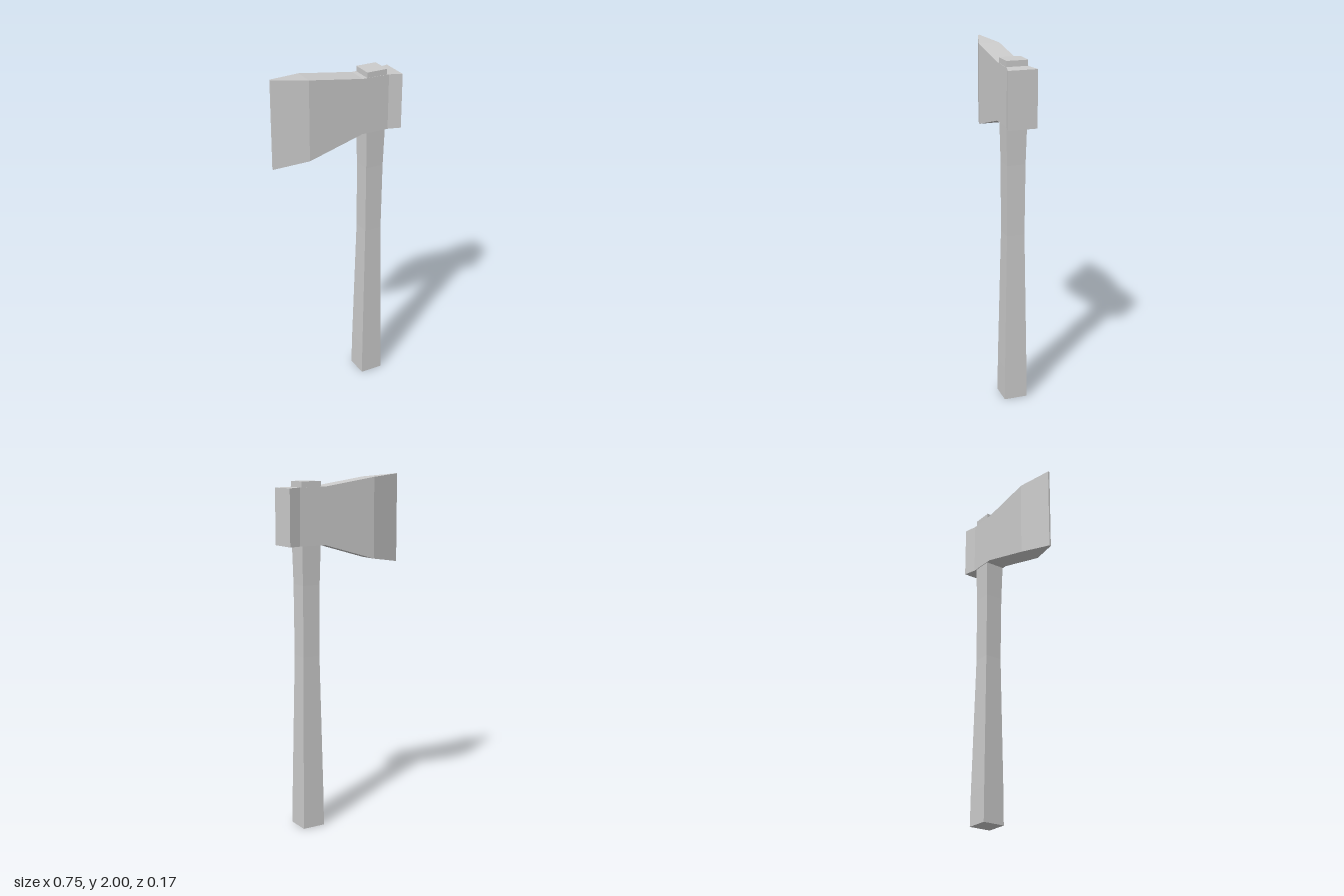
import * as THREE from 'three';

// Flat-faced solid through a row of four-cornered sections, with closed ends
function loft(name, sections, material) {
  const pos = [];
  const quad = (a, b, c, d) => pos.push(...a, ...b, ...c, ...a, ...c, ...d);
  for (let i = 0; i < sections.length - 1; i++) {
    const s = sections[i], t = sections[i + 1];
    for (let k = 0; k < 4; k++) {
      const n = (k + 1) % 4;
      quad(s[k], s[n], t[n], t[k]);
    }
  }
  const [a, b, c, d] = sections[0];
  quad(d, c, b, a);
  quad(...sections[sections.length - 1]);
  const geometry = new THREE.BufferGeometry();
  geometry.setAttribute('position', new THREE.Float32BufferAttribute(pos, 3));
  geometry.computeVertexNormals();
  const mesh = new THREE.Mesh(geometry, material);
  mesh.name = name;
  return mesh;
}

export function createModel() {
  const group = new THREE.Group();
  group.name = 'axe';
  const material = new THREE.MeshStandardMaterial({ color: 0xcccccc, flatShading: true });

  // Square handle, waisted in the middle and poking out above the head: [y, half width]
  const handleX = 0.227;
  const handle = [[0, 0.067], [0.2, 0.065], [1, 0.051], [1.4, 0.053], [1.62, 0.058], [1.965, 0.06]]
    .map(([y, r]) => [[1, 1], [1, -1], [-1, -1], [-1, 1]]
      .map(([sx, sz]) => [handleX + sx * r, y, sz * r]));
  group.add(loft('handle', handle, material));

  // Head from cutting edge to flared poll: [x, bottom, top, half thickness]
  const head = [
    [-0.373, 1.495, 2.0, 0.005],
    [-0.18, 1.525, 1.983, 0.06],
    [0.14, 1.617, 1.935, 0.061],
    [0.3, 1.617, 1.933, 0.062],
    [0.373, 1.617, 1.93, 0.083],
  ].map(([x, y0, y1, r]) => [[x, y0, r], [x, y0, -r], [x, y1, -r], [x, y1, r]]);
  group.add(loft('axeHead', head, material));

  return group;
}
